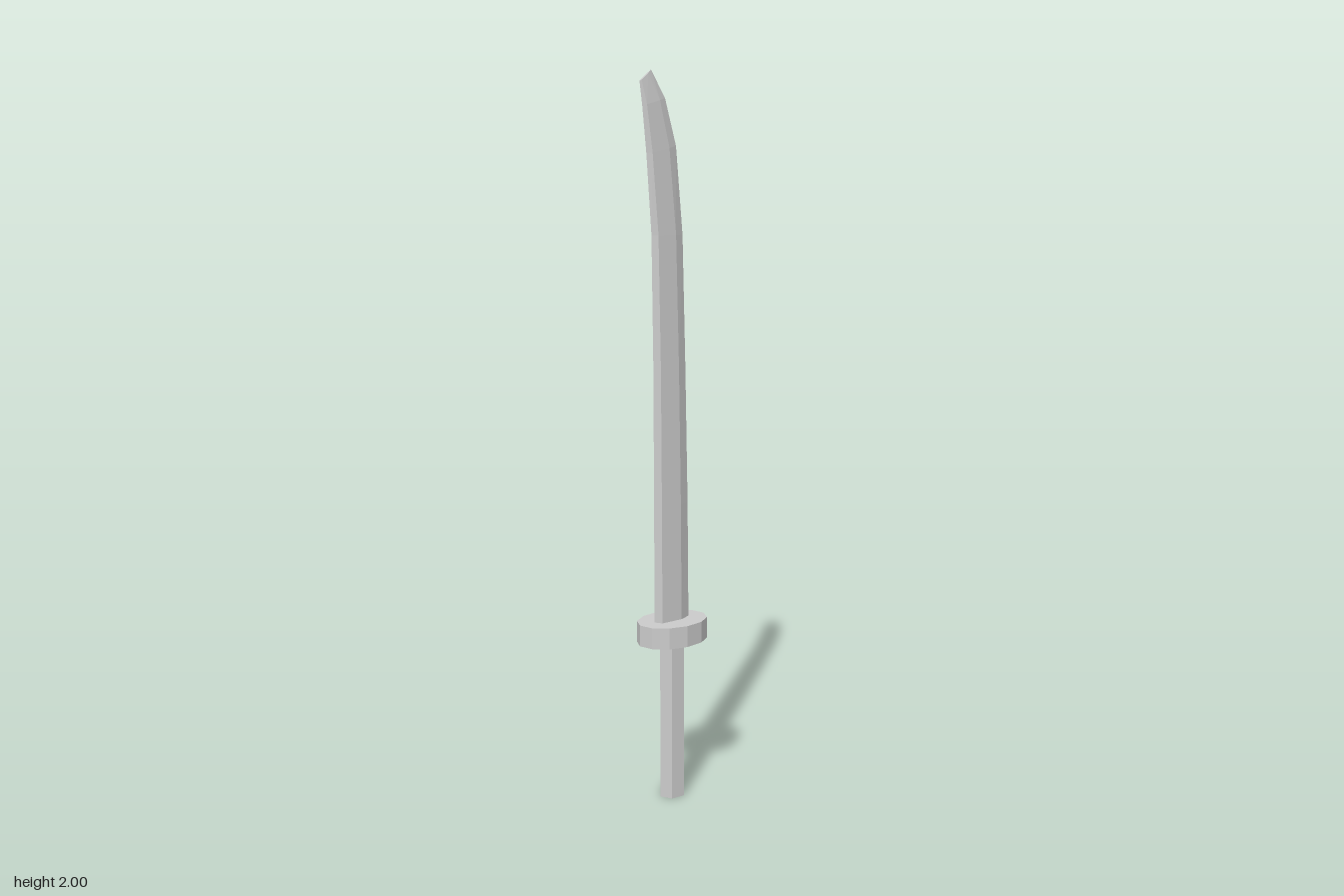
import * as THREE from 'three';

const material = new THREE.MeshStandardMaterial({ color: 0xcccccc, flatShading: true });

// Upright prism with an elliptical outline
function prism(name, rx, rz, y0, y1, sides) {
  const geo = new THREE.CylinderGeometry(1, 1, y1 - y0, sides);
  geo.rotateY(Math.PI / 2).scale(rx, 1, rz).translate(0, (y0 + y1) / 2, 0);
  const mesh = new THREE.Mesh(geo, material);
  mesh.name = name;
  return mesh;
}

// Curved blade lofted through six-sided sections
function blade() {
  // spine x, spine y, edge x, edge y, half thickness
  const sections = [
    [-0.058, 0.50, 0.055, 0.50, 0.019],
    [-0.059, 0.85, 0.051, 0.85, 0.019],
    [-0.060, 1.22, 0.043, 1.22, 0.018],
    [-0.065, 1.58, 0.033, 1.58, 0.016],
    [-0.080, 1.79, 0.012, 1.81, 0.013],
    [-0.092, 1.91, -0.022, 1.93, 0.010],
    [-0.100, 1.97, -0.065, 2.00, 0.004],
  ];
  // position across the width and share of the thickness
  const outline = [[0, 0], [0.12, 1], [0.7, 0.85], [1, 0], [0.7, -0.85], [0.12, -1]];
  const n = outline.length;
  const positions = [];
  const index = [];
  for (const [sx, sy, ex, ey, t] of sections)
    for (const [u, w] of outline)
      positions.push(sx + (ex - sx) * u, sy + (ey - sy) * u, t * w);
  for (let s = 0; s < sections.length - 1; s++)
    for (let i = 0; i < n; i++) {
      const a = s * n + i, b = s * n + (i + 1) % n;
      index.push(a, b, b + n, a, b + n, a + n);
    }
  // end caps
  const top = (sections.length - 1) * n;
  for (let i = 1; i < n - 1; i++) {
    index.push(0, i + 1, i);
    index.push(top, top + i, top + i + 1);
  }
  const geo = new THREE.BufferGeometry();
  geo.setAttribute('position', new THREE.Float32BufferAttribute(positions, 3));
  geo.setIndex(index);
  const flat = geo.toNonIndexed();
  flat.computeVertexNormals();
  const mesh = new THREE.Mesh(flat, material);
  mesh.name = 'blade';
  return mesh;
}

export function createModel() {
  const sword = new THREE.Group();
  sword.name = 'sword';
  sword.add(
    prism('handle', 0.04, 0.035, 0, 0.48, 6),
    prism('guard', 0.106, 0.077, 0.46, 0.52, 12),
    blade(),
  );
  return sword;
}
